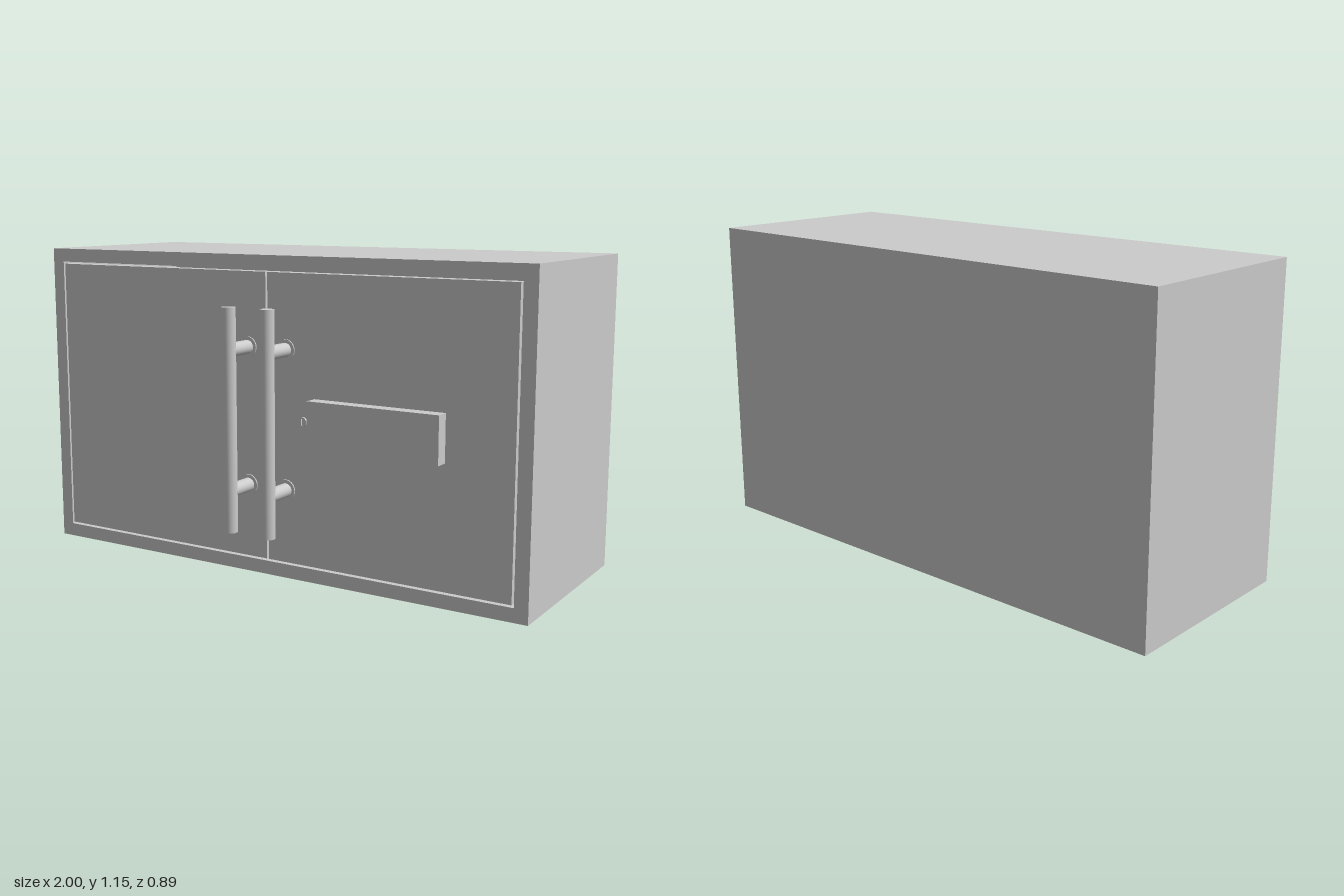
import * as THREE from 'three';

const W = 2, H = 1.15, BACK = -0.445, FRONT = 0.305, WALL = 0.05, GAP = 0.008;
const material = new THREE.MeshStandardMaterial({ color: 0xcccccc });

function add(parent, name, geometry, x = 0, y = 0, z = 0) {
  const mesh = new THREE.Mesh(geometry, material);
  mesh.name = name;
  mesh.position.set(x, y, z);
  parent.add(mesh);
  return mesh;
}

function rectPoints(x0, y0, x1, y1) {
  return [[x0, y0], [x1, y0], [x1, y1], [x0, y1]].map(([x, y]) => new THREE.Vector2(x, y));
}

// Rod along z, starting at z0
function addRod(parent, name, radius, length, x, y, z0) {
  const geometry = new THREE.CylinderGeometry(radius, radius, length, 32).rotateX(Math.PI / 2);
  return add(parent, name, geometry, x, y, z0 + length / 2);
}

// Bar handle on two posts with small mounting flanges
function createHandle(x) {
  const handle = new THREE.Group();
  handle.name = x > 0 ? 'leftHandle' : 'rightHandle';
  const barZ = 0.42;
  add(handle, 'handleBar', new THREE.CylinderGeometry(0.025, 0.025, 0.8, 32), x, 0.575, barZ);
  for (const y of [0.325, 0.825]) {
    addRod(handle, 'handlePost', 0.025, barZ - FRONT, x, y, FRONT);
    addRod(handle, 'handleFlange', 0.037, 0.005, x, y, FRONT);
  }
  return handle;
}

// Round lock face with a keyhole slot
function createLock() {
  const lock = new THREE.Group();
  lock.name = 'lock';
  const face = new THREE.Shape().absarc(0, 0, 0.018, 0, Math.PI * 2);
  face.holes.push(new THREE.Path(rectPoints(-0.003, -0.011, 0.003, 0.011)));
  add(lock, 'lockFace', new THREE.ExtrudeGeometry(face, { depth: 0.008, bevelEnabled: false, curveSegments: 24 }));
  lock.position.set(0.15, 0.577, FRONT);
  return lock;
}

export function createModel() {
  const model = new THREE.Group();
  model.name = 'cabinet';

  // Carcass: four walls around an open front, plus a back panel
  const walls = new THREE.Shape(rectPoints(-W / 2, 0, W / 2, H));
  walls.holes.push(new THREE.Path(rectPoints(-W / 2 + WALL, WALL, W / 2 - WALL, H - WALL)));
  add(model, 'carcass', new THREE.ExtrudeGeometry(walls, { depth: FRONT - BACK, bevelEnabled: false }), 0, 0, BACK);
  add(model, 'backPanel', new THREE.BoxGeometry(W - 2 * WALL, H - 2 * WALL, WALL), 0, H / 2, BACK + WALL / 2);

  // Flush doors with a thin gap all round, each with a handle
  const doorWidth = W / 2 - WALL - 1.5 * GAP;
  const doorHeight = H - 2 * WALL - 2 * GAP;
  for (const side of [-1, 1]) {
    add(model, side > 0 ? 'leftDoor' : 'rightDoor', new THREE.BoxGeometry(doorWidth, doorHeight, WALL),
      side * (GAP / 2 + doorWidth / 2), H / 2, FRONT - WALL / 2);
    model.add(createHandle(side * 0.08));
  }

  // Lock and raised plate on the left door
  model.add(createLock());
  add(model, 'doorPlate', new THREE.BoxGeometry(0.5, 0.167, 0.05), 0.447, 0.578, FRONT + 0.025);

  return model;
}
